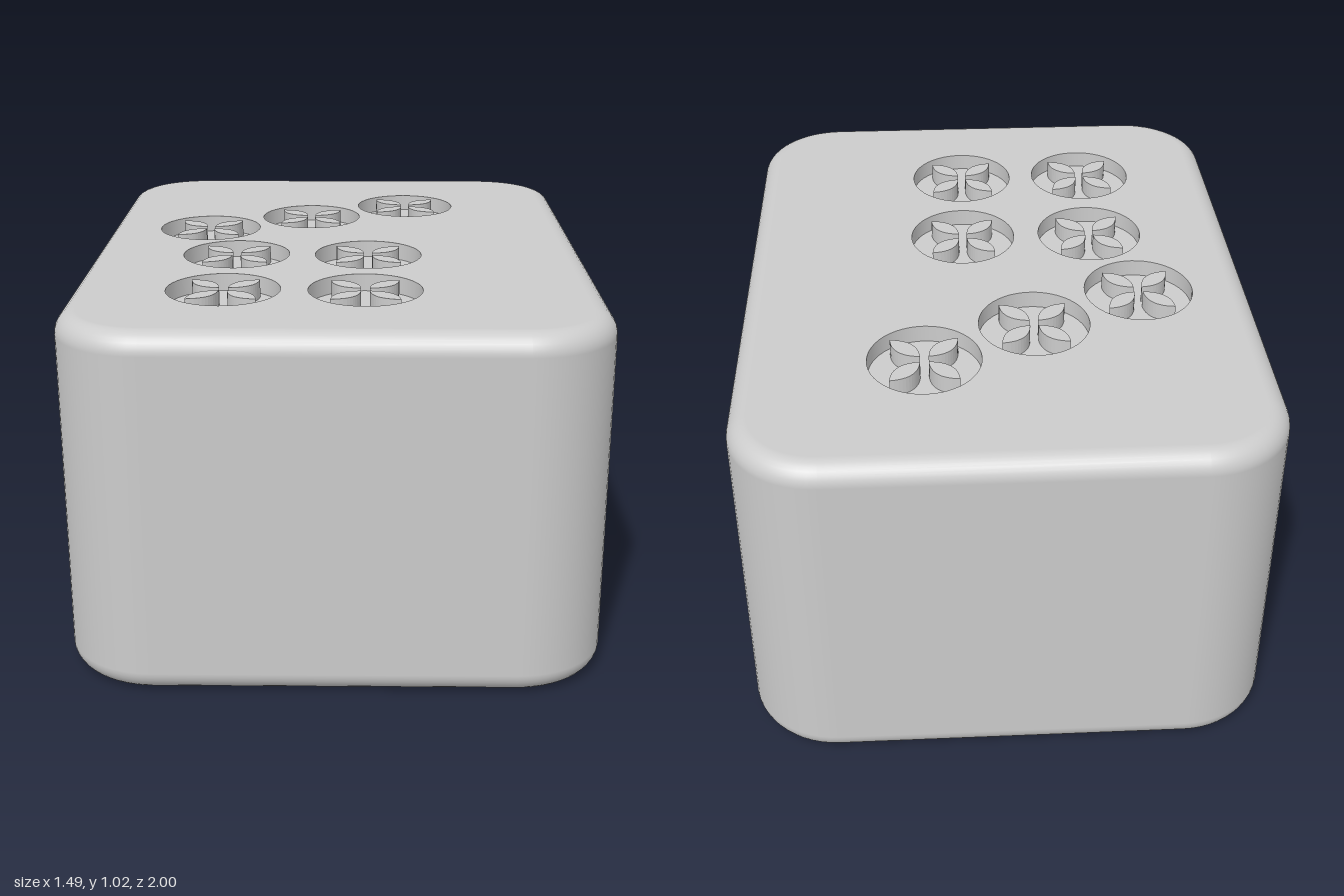
import * as THREE from 'three';

const HALF_W = 0.745, HALF_L = 1, HEIGHT = 1.02;
const CORNER = 0.25, FILLET = 0.06;       // plan corner radius, edge rounding
const RX = 0.159, RZ = 0.168, DEPTH = 0.05; // engraved discs

const DISCS = [
  [0.22, -0.515], [-0.095, -0.345], [-0.415, -0.177],
  [-0.305, 0.172], [0.09, 0.172],
  [-0.313, 0.572], [0.08, 0.572],
];

const material = new THREE.MeshStandardMaterial({ color: 0xcccccc });
const openMaterial = new THREE.MeshStandardMaterial({ color: 0xcccccc, side: THREE.DoubleSide });

function addMesh(parent, name, geometry, mat = material) {
  const mesh = new THREE.Mesh(geometry, mat);
  mesh.name = name;
  parent.add(mesh);
  return mesh;
}

// Rounded-rectangle outline: each point has a corner centre and a direction
function outline(segments = 14) {
  const points = [];
  const signs = [[1, 1], [-1, 1], [-1, -1], [1, -1]];
  signs.forEach(([sx, sz], corner) => {
    for (let i = 0; i <= segments; i++) {
      const a = (corner + i / segments) * Math.PI / 2;
      points.push({
        cx: sx * (HALF_W - CORNER), cz: sz * (HALF_L - CORNER),
        dx: Math.cos(a), dz: Math.sin(a),
      });
    }
  });
  return points;
}

// Side walls with rounded upper and lower edges, swept from stacked outlines
function sideGeometry() {
  const ring = outline(), steps = 8;
  const levels = [];
  for (let i = 0; i <= steps; i++) levels.push({ b: (i / steps - 1) * Math.PI / 2, y: FILLET });
  for (let i = 0; i <= steps; i++) levels.push({ b: (i / steps) * Math.PI / 2, y: HEIGHT - FILLET });
  const positions = [], normals = [], index = [];
  const n = ring.length;
  levels.forEach(({ b, y }, level) => {
    const c = Math.cos(b), s = Math.sin(b), r = CORNER - FILLET + FILLET * c;
    ring.forEach(({ cx, cz, dx, dz }, i) => {
      positions.push(cx + dx * r, y + FILLET * s, cz + dz * r);
      normals.push(dx * c, s, dz * c);
      if (level === 0) return;
      const j = (i + 1) % n, lo = (level - 1) * n, hi = level * n;
      index.push(lo + i, hi + i, lo + j, lo + j, hi + i, hi + j);
    });
  });
  const geometry = new THREE.BufferGeometry();
  geometry.setAttribute('position', new THREE.Float32BufferAttribute(positions, 3));
  geometry.setAttribute('normal', new THREE.Float32BufferAttribute(normals, 3));
  geometry.setIndex(index);
  return geometry;
}

// Flat face inside the rounded edge (shape y is -z)
function faceShape() {
  const r = CORNER - FILLET;
  return new THREE.Shape(outline().map(p =>
    new THREE.Vector2(p.cx + p.dx * r, -(p.cz + p.dz * r))));
}

// Pointed leaf lying along one diagonal of a disc
function petalShape(sx, sy) {
  const inner = new THREE.Vector2(sx * 0.012, sy * 0.013);
  const tip = new THREE.Vector2(sx * 0.096, sy * 0.101);
  const mid = inner.clone().add(tip).multiplyScalar(0.5);
  const side = new THREE.Vector2(-sy, sx).multiplyScalar(0.038);
  const shape = new THREE.Shape();
  shape.moveTo(inner.x, inner.y);
  shape.quadraticCurveTo(mid.x + side.x, mid.y + side.y, tip.x, tip.y);
  shape.quadraticCurveTo(mid.x - side.x, mid.y - side.y, inner.x, inner.y);
  return shape;
}

export function createModel() {
  const model = new THREE.Group();
  model.name = 'tile';

  addMesh(model, 'sides', sideGeometry());
  addMesh(model, 'bottomFace', new THREE.ShapeGeometry(faceShape()).rotateX(Math.PI / 2).scale(1, 1, -1 * -1));

  // Top face, pierced by the discs
  const top = faceShape();
  for (const [x, z] of DISCS) {
    const hole = new THREE.Path();
    hole.absellipse(x, -z, RX, RZ, 0, Math.PI * 2, true, 0);
    top.holes.push(hole);
  }
  addMesh(model, 'topFace', new THREE.ShapeGeometry(top, 24).rotateX(-Math.PI / 2)).position.y = HEIGHT;

  // Sunken discs, each with four raised petals level with the top
  const wall = new THREE.CylinderGeometry(1, 1, DEPTH, 48, 1, true).scale(RX, 1, RZ).translate(0, DEPTH / 2, 0);
  const floor = new THREE.CircleGeometry(1, 48).rotateX(-Math.PI / 2).scale(RX, 1, RZ);
  const petals = new THREE.ExtrudeGeometry(
    [petalShape(1, 1), petalShape(-1, 1), petalShape(-1, -1), petalShape(1, -1)],
    { depth: DEPTH, bevelEnabled: false, curveSegments: 12 }).rotateX(-Math.PI / 2);
  for (const [x, z] of DISCS) {
    const disc = new THREE.Group();
    disc.name = 'engravedDisc';
    disc.position.set(x, HEIGHT - DEPTH, z);
    addMesh(disc, 'discWall', wall, openMaterial);
    addMesh(disc, 'discFloor', floor);
    addMesh(disc, 'petals', petals);
    model.add(disc);
  }
  return model;
}
